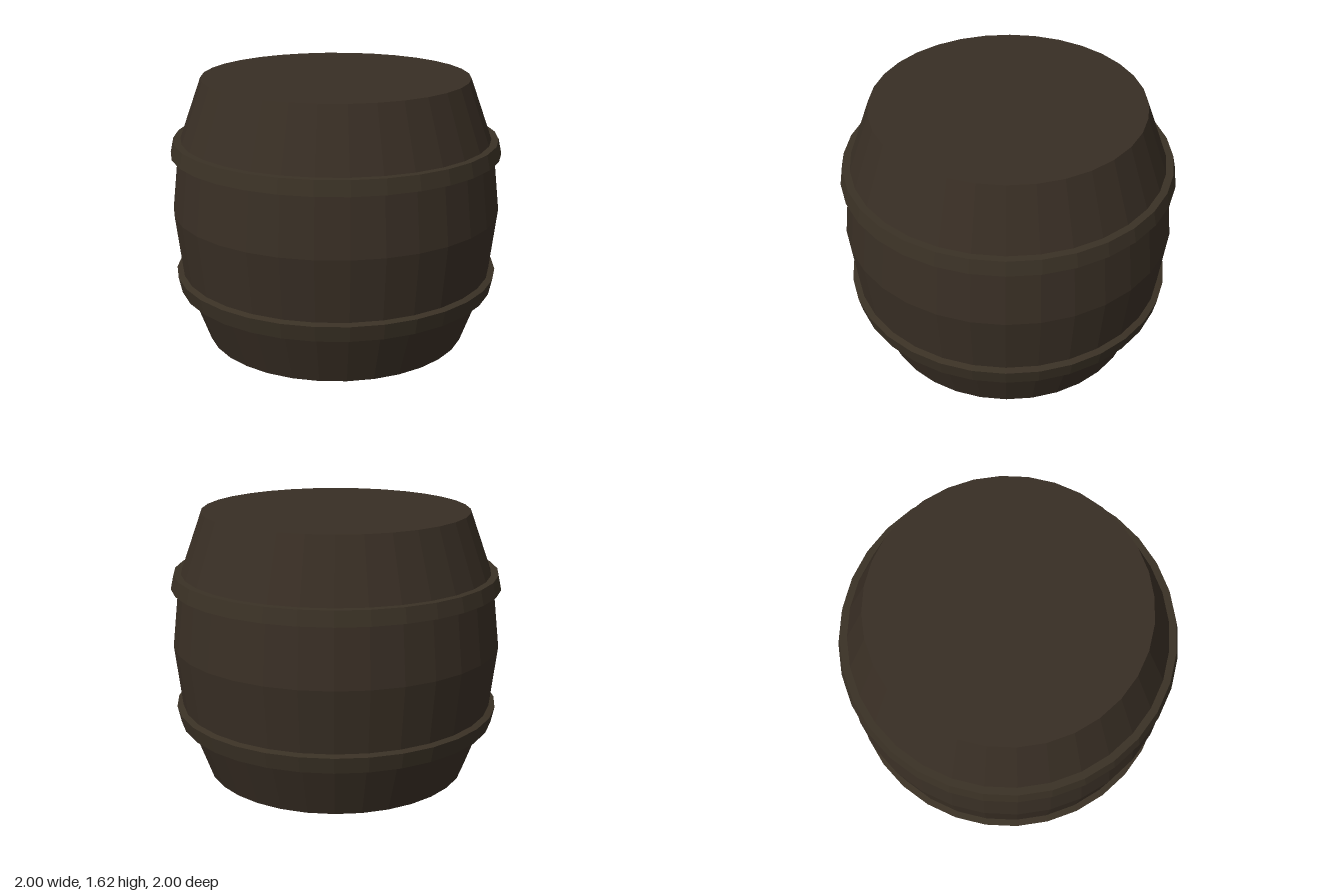
import * as THREE from 'three';

const SIDES = 32;

// Faceted solid of revolution; the profile runs from bottom to top as [radius, y]
function turned(name, profile, material) {
  const points = profile.map(([r, y]) => new THREE.Vector2(r, y));
  const geometry = new THREE.LatheGeometry(points, SIDES).toNonIndexed();
  geometry.computeVertexNormals();
  const mesh = new THREE.Mesh(geometry, material);
  mesh.name = name;
  return mesh;
}

export function createModel() {
  const wood = new THREE.MeshStandardMaterial({ color: 0x382e24 });
  wood.name = 'dark wood';
  const iron = new THREE.MeshStandardMaterial({ color: 0x3a3125 });
  iron.name = 'dark hoop';

  const barrel = new THREE.Group();
  barrel.name = 'barrel';

  // Bulging body with flat ends
  barrel.add(turned('body', [
    [0, 0], [0.806, 0], [0.952, 0.405], [0.998, 0.81],
    [0.952, 1.21], [0.806, 1.615], [0, 1.615],
  ], wood));

  // Hoops, each tapering with the slope of the staves
  barrel.add(turned('lowerHoop', [
    [0.92, 0.325], [0.972, 0.325], [0.993, 0.422], [0.95, 0.432],
  ], iron));
  barrel.add(turned('upperHoop', [
    [0.95, 1.155], [1.0, 1.163], [0.981, 1.25], [0.93, 1.25],
  ], iron));

  return barrel;
}
